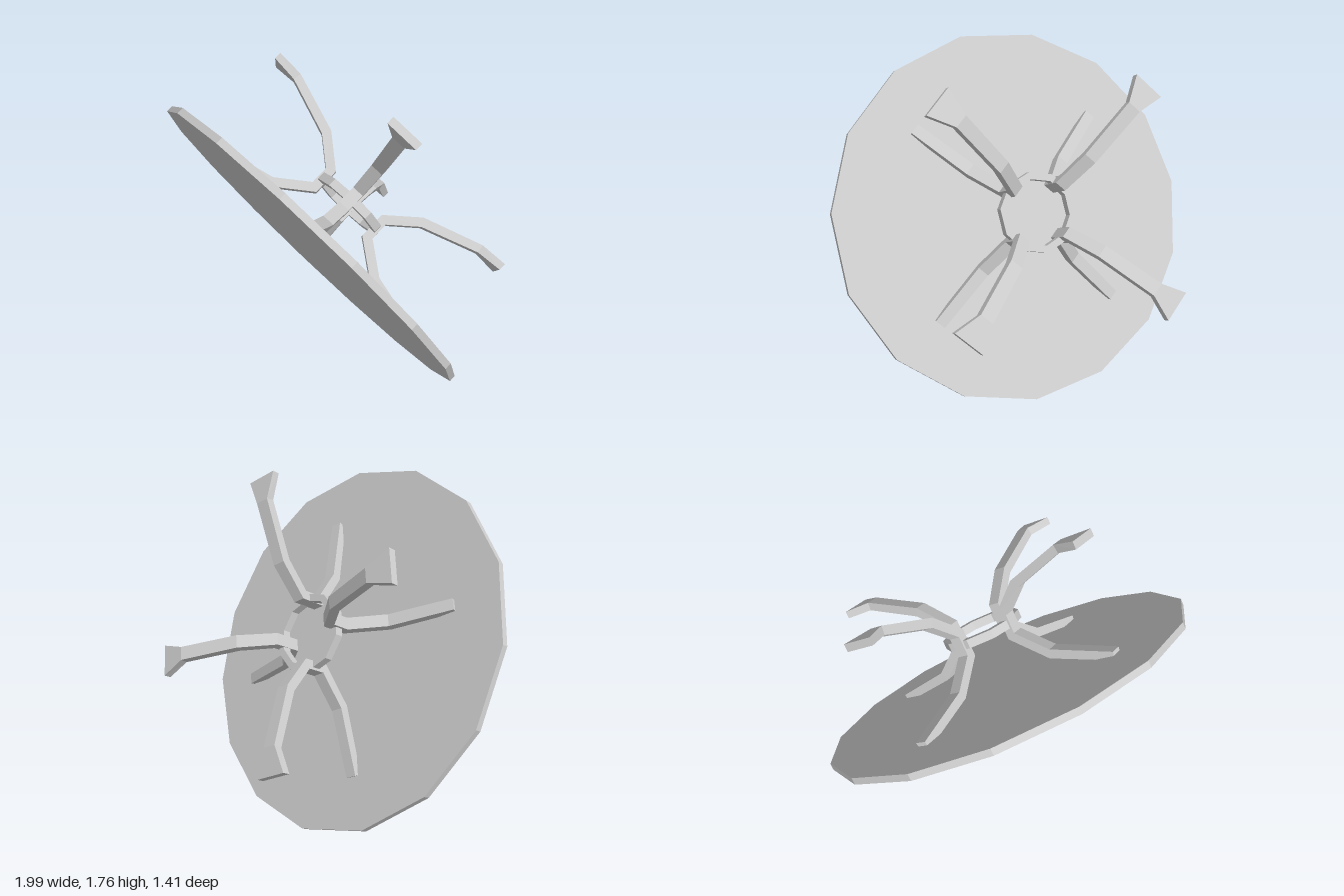
import * as THREE from 'three';

const material = new THREE.MeshStandardMaterial({ color: 0xcccccc, flatShading: true });

// Rectangular bar swept along a bent profile: [radius, height, thickness, width]
function barGeometry(profile) {
  const points = profile.map(([r, n]) => new THREE.Vector2(r, n));
  const dir = (i) => points[i + 1].clone().sub(points[i]).normalize();
  const positions = [];
  const index = [];
  const last = points.length - 1;
  profile.forEach(([r, n, thick, width], i) => {
    const before = dir(Math.max(i - 1, 0));
    const after = dir(Math.min(i, last - 1));
    const t = before.clone().add(after).normalize();
    const half = thick / 2 / Math.max(t.dot(after), 0.5);
    for (const [m, w] of [[1, -1], [1, 1], [-1, 1], [-1, -1]]) {
      positions.push(r - t.y * m * half, n + t.x * m * half, w * width / 2);
    }
    if (i === last) return;
    for (let j = 0; j < 4; j++) {
      const a = i * 4 + j, b = i * 4 + (j + 1) % 4;
      index.push(a, b, b + 4, a, b + 4, a + 4);
    }
  });
  const e = last * 4;
  index.push(0, 2, 1, 0, 3, 2, e, e + 1, e + 2, e, e + 2, e + 3);
  const geometry = new THREE.BufferGeometry();
  geometry.setAttribute('position', new THREE.Float32BufferAttribute(positions, 3));
  geometry.setIndex(index);
  geometry.computeVertexNormals();
  return geometry;
}

export function createModel() {
  const model = new THREE.Group();
  model.name = 'tippedTable';

  // Table in its own frame: top at y = 0, feet towards +y
  const table = new THREE.Group();
  table.name = 'table';
  table.position.set(0, 0.854, 0.184);
  table.rotation.x = THREE.MathUtils.degToRad(-58.9);
  model.add(table);

  const add = (name, geometry) => {
    const mesh = new THREE.Mesh(geometry, material);
    mesh.name = name;
    table.add(mesh);
    return mesh;
  };

  // Fifteen-sided round top
  const topAngle = THREE.MathUtils.degToRad(3.8);
  add('tableTop', new THREE.CylinderGeometry(1.003, 1.003, 0.036, 15, 1, false, topAngle))
    .position.y = 0.018;

  // Ring that ties the legs together
  const ringProfile = [[0.175, 0.292], [0.213, 0.292], [0.213, 0.338], [0.175, 0.338], [0.175, 0.292]]
    .map(([x, y]) => new THREE.Vector2(x, y));
  add('legRing', new THREE.LatheGeometry(ringProfile, 10));

  // Four bent legs, from the top in to the ring and out to a flared foot
  const legGeometry = barGeometry([
    [0.72, 0.035, 0.045, 0.06],
    [0.37, 0.115, 0.05, 0.065],
    [0.19, 0.25, 0.05, 0.065],
    [0.19, 0.375, 0.05, 0.065],
    [0.345, 0.505, 0.05, 0.07],
    [0.66, 0.612, 0.045, 0.075],
    [0.80, 0.612, 0.04, 0.175],
  ]);
  for (let i = 0; i < 4; i++) {
    add('leg' + (i + 1), legGeometry).rotation.y = -THREE.MathUtils.degToRad(52 + 90 * i);
  }

  return model;
}
